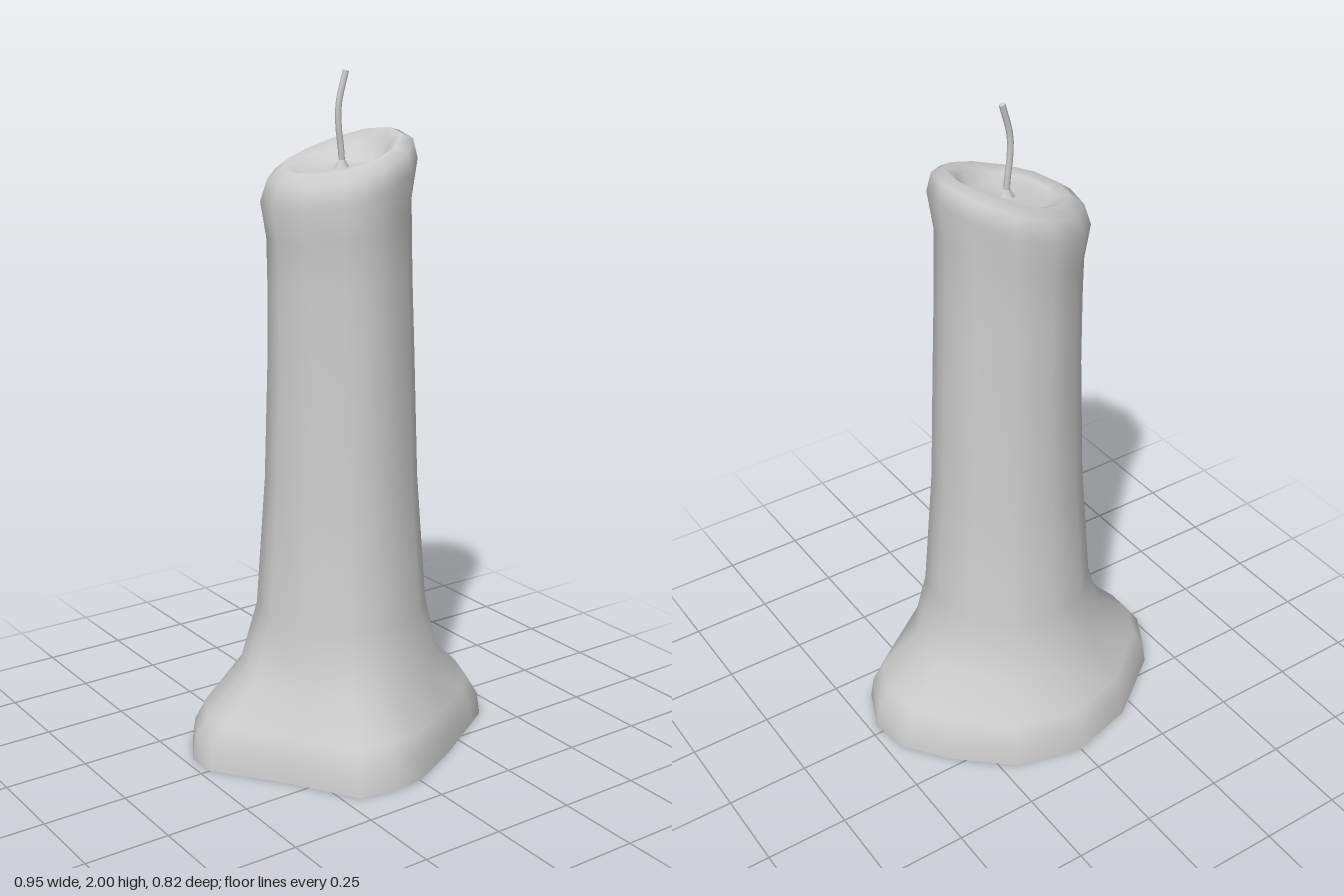
import * as THREE from 'three';

// Melted foot outline: [column angle in degrees from the back, x, z]
const FOOT = [
  [0, 0, -0.41], [30, 0.205, -0.355], [60, 0.36, -0.215], [75, 0.45, -0.095],
  [90, 0.475, 0.03], [105, 0.42, 0.16], [120, 0.351, 0.203], [150, 0.17, 0.315],
  [180, 0, 0.4], [195, -0.09, 0.407], [210, -0.205, 0.385], [240, -0.32, 0.2],
  [270, -0.47, 0], [285, -0.475, -0.09], [300, -0.41, -0.205], [330, -0.205, -0.355],
];

// Height of the slanted rim crest
const crest = (x) => 1.77 + 0.31 * x + 0.4 * x * x;

// Rings from foot to pool: r radius, spread = blend towards the foot outline, y height, dx sideways shift
const RINGS = [
  { r: 0.27, spread: 1, y: () => 0 },
  { r: 0.27, spread: 0.95, y: () => 0.07 },
  { r: 0.27, spread: 0.77, y: () => 0.13 },
  { r: 0.265, spread: 0.22, y: () => 0.25 },
  { r: 0.255, y: () => 0.43 },
  { r: 0.226, y: () => 0.82 },
  { r: 0.213, y: () => 1.2 },
  { r: 0.208, y: () => 1.42, dx: -0.004 },
  { r: 0.206, y: (x) => crest(x) - 0.19, dx: -0.008 },
  { r: 0.222, y: (x) => crest(x) - 0.085, dx: -0.008 },
  { r: 0.205, y: (x) => crest(x) - 0.025, dx: -0.004 },
  { r: 0.168, y: crest },
  { r: 0.135, y: (x) => crest(x) - 0.015 },
  { r: 0.105, y: (x) => 1.73 + 0.12 * x },
  { r: 0, y: () => 1.733 },
];

// Smooth skin through all rings
function waxGeometry() {
  const position = [], index = [], n = FOOT.length;
  for (const { r, spread = 0, y, dx = 0 } of RINGS) {
    for (const [deg, fx, fz] of FOOT) {
      const a = THREE.MathUtils.degToRad(deg);
      const k = deg % 30 ? r * Math.cos(Math.PI / 12) : r; // twelve-sided section
      const x = THREE.MathUtils.lerp(k * Math.sin(a) + dx, fx, spread);
      const z = THREE.MathUtils.lerp(-k * Math.cos(a), fz, spread);
      position.push(x, y(x), z);
    }
  }
  for (let j = 0; j < RINGS.length - 1; j++) {
    for (let i = 0; i < n; i++) {
      const a = j * n + i, b = j * n + (i + 1) % n;
      index.push(a, a + n, b + n);
      index.push(a, b + n, b);
    }
  }
  const geometry = new THREE.BufferGeometry();
  geometry.setAttribute('position', new THREE.Float32BufferAttribute(position, 3));
  geometry.setIndex(index);
  geometry.computeVertexNormals();
  return geometry;
}

export function createModel() {
  const group = new THREE.Group();
  group.name = 'candle';
  const wax = new THREE.MeshStandardMaterial({ color: 0xcccccc });
  wax.name = 'pale grey wax';

  const add = (name, geometry) => {
    const mesh = new THREE.Mesh(geometry, wax);
    mesh.name = name;
    group.add(mesh);
    return mesh;
  };

  add('waxBody', waxGeometry());

  // Flat underside
  const outline = new THREE.Shape(FOOT.map(([, x, z]) => new THREE.Vector2(x, z)));
  add('underside', new THREE.ShapeGeometry(outline).rotateX(Math.PI / 2));

  // Bent wick with a flat tip and a small mound of wax at its root
  const points = [[0, 1.72], [-0.004, 1.78], [-0.013, 1.85], [-0.012, 1.91], [0.012, 1.998]]
    .map(([x, y]) => new THREE.Vector3(x, y, 0.005));
  const curve = new THREE.CatmullRomCurve3(points);
  add('wick', new THREE.TubeGeometry(curve, 10, 0.009, 6));
  const tip = add('wickTip', new THREE.CircleGeometry(0.009, 6));
  tip.position.copy(points[points.length - 1]);
  tip.lookAt(tip.position.clone().add(curve.getTangent(1)));
  add('wickMound', new THREE.ConeGeometry(0.025, 0.04, 6)).position.set(-0.002, 1.748, 0.005);

  return group;
}
